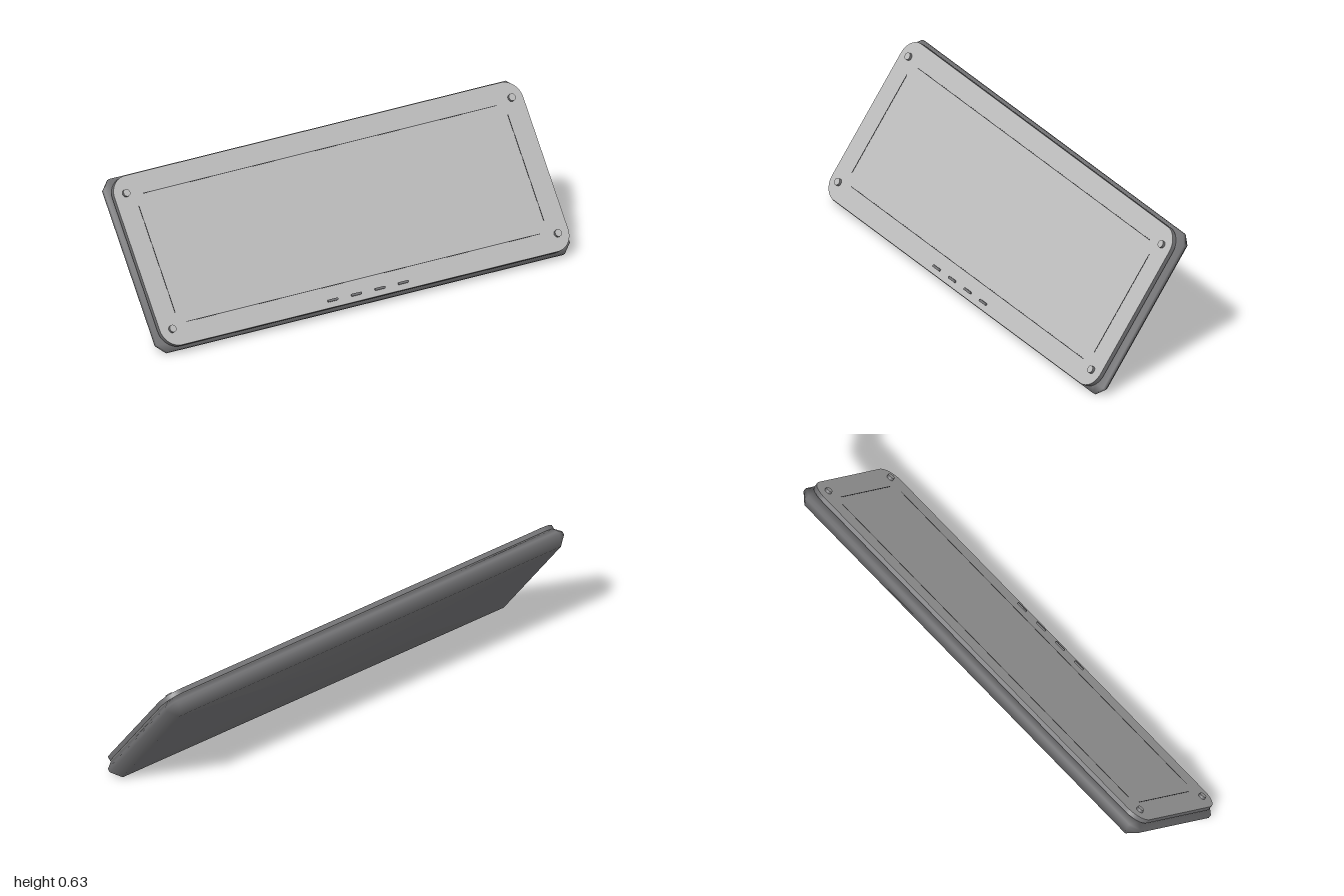
import * as THREE from 'three';

const mat = (name, color, extra = {}) =>
  Object.assign(new THREE.MeshStandardMaterial({ color, ...extra }), { name });

// Rounded rectangle centred on (0, 0)
function roundedRect(hx, hy, r) {
  const s = new THREE.Shape();
  s.moveTo(-hx + r, -hy);
  s.lineTo(hx - r, -hy);
  s.absarc(hx - r, -hy + r, r, -Math.PI / 2, 0);
  s.absarc(hx - r, hy - r, r, 0, Math.PI / 2);
  s.absarc(-hx + r, hy - r, r, Math.PI / 2, Math.PI);
  s.absarc(-hx + r, -hy + r, r, Math.PI, Math.PI * 1.5);
  return s;
}

// Closed solid through rectangles with cut corners: [z, halfX, halfY, cut]
function bevelledSlab(rings) {
  const pos = [], idx = [], n = 8;
  for (const [z, x, y, c] of rings) {
    const loop = [[x - c, -y], [x, -y + c], [x, y - c], [x - c, y],
      [-x + c, y], [-x, y - c], [-x, -y + c], [-x + c, -y]];
    for (const [px, py] of loop) pos.push(px, py, z);
  }
  const last = (rings.length - 1) * n;
  const back = rings.length * n, front = back + 1;
  pos.push(0, 0, rings[0][0], 0, 0, rings[rings.length - 1][0]);
  for (let i = 0; i < n; i++) {
    const j = (i + 1) % n;
    for (let k = 0; k < last; k += n) {
      idx.push(k + i, k + j, k + n + j, k + i, k + n + j, k + n + i);
    }
    idx.push(back, j, i, front, last + i, last + j);
  }
  const g = new THREE.BufferGeometry();
  g.setAttribute('position', new THREE.Float32BufferAttribute(pos, 3));
  g.setIndex(idx);
  g.computeVertexNormals();
  return g;
}

export function createModel() {
  const dark = mat('dark grey casing', 0x727274);
  const light = mat('light grey panel', 0xbcbcbc);
  const line = mat('charcoal seam', 0x3c3c3e);

  const model = new THREE.Group();
  model.name = 'tiltedPanel';
  const slab = new THREE.Group();
  slab.name = 'slab';
  slab.rotation.x = -0.6212; // leans back
  model.add(slab);

  const MID = 0.2585, FACE = 0.2226; // slab centre along its height, front plane
  const add = (name, geo, material, x, y, z) => {
    const m = new THREE.Mesh(geo, material);
    m.name = name;
    m.position.set(x, MID + y, z);
    slab.add(m);
    return m;
  };

  // Bevelled casing
  add('casing', bevelledSlab([
    [0.125, 0.96, 0.335, 0.002],
    [0.165, 1.0, 0.374, 0.04],
    [0.181, 1.0, 0.374, 0.04],
    [0.203, 0.972, 0.346, 0.012],
  ]), dark, 0, 0, 0);

  // Front panel with dark rim
  const panel = new THREE.ExtrudeGeometry(roundedRect(0.988, 0.365, 0.08),
    { depth: 0.0196, bevelEnabled: false, curveSegments: 10 });
  add('frontPanel', panel, [light, dark], 0, 0, 0.203);

  // Corner screws
  const screw = new THREE.CylinderGeometry(0.0155, 0.0155, 0.012, 20).rotateX(Math.PI / 2);
  for (const sx of [-1, 1]) for (const sy of [-1, 1]) {
    add('screw', screw, [dark, light, dark], sx * 0.932, sy * 0.293, FACE + 0.006);
  }

  // Row of four indicator slots
  const slot = new THREE.ExtrudeGeometry(roundedRect(0.025, 0.005, 0.0045),
    { depth: 0.006, bevelEnabled: false, curveSegments: 4 });
  for (let i = 0; i < 4; i++) {
    add('indicator', slot, dark, (i - 1.5) * 0.1135, -0.336, FACE);
  }

  // Hairline seams framing the panel
  for (const s of [-1, 1]) {
    add('sideSeam', new THREE.BoxGeometry(0.003, 0.46, 0.002), line, s * 0.892, 0, FACE);
    add('longSeam', new THREE.BoxGeometry(1.71, 0.003, 0.002), line, 0, s * 0.277, FACE);
  }

  return model;
}
